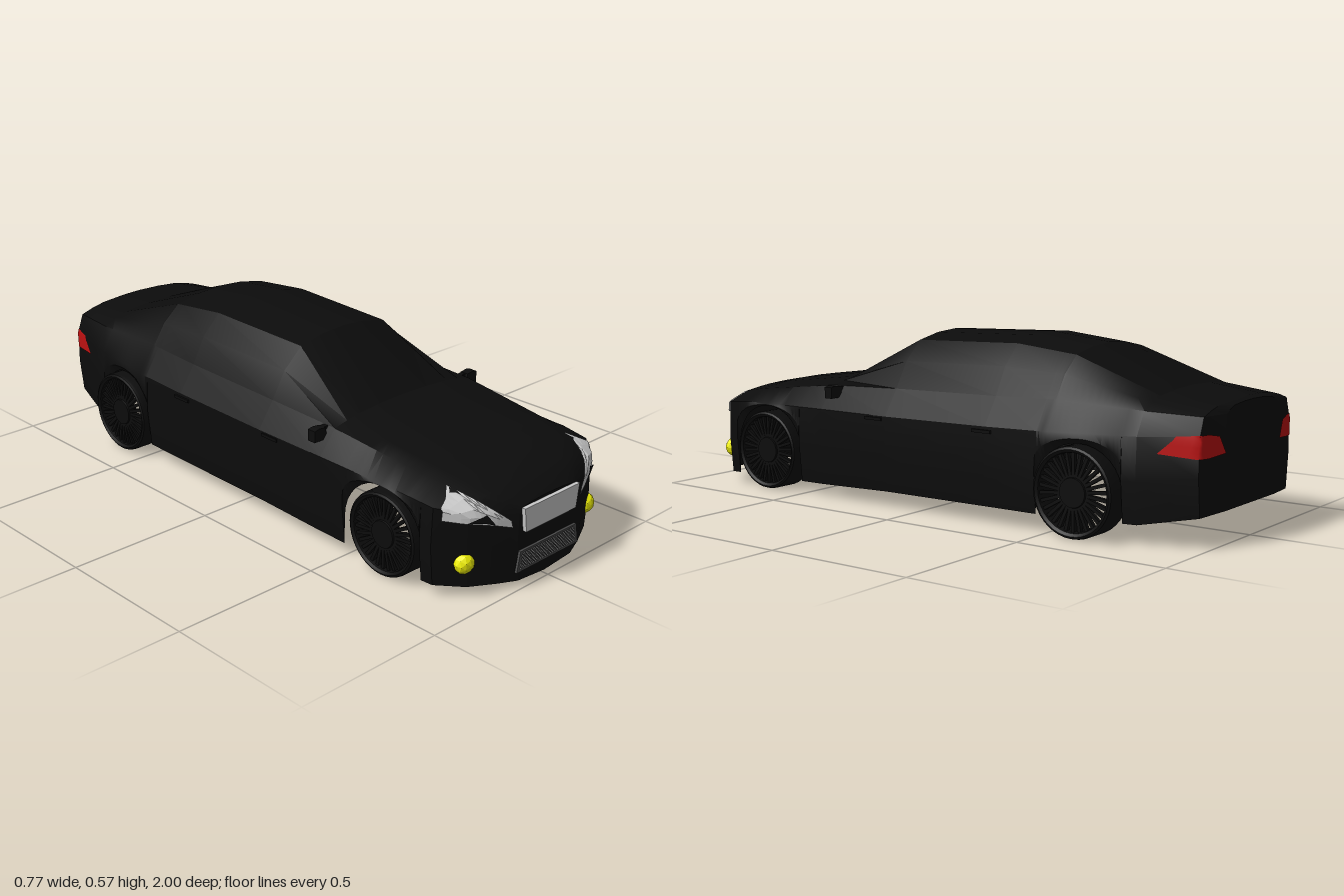
import * as THREE from 'three';
import { toCreasedNormals } from 'three/addons/utils/BufferGeometryUtils.js';

const mat = (color, extra = {}) => new THREE.MeshStandardMaterial({ color, ...extra });
const thin = { side: THREE.DoubleSide };
const BLACK = mat(0x0c0c0c, thin), GLASS = mat(0x0b0b0b, thin);
const CHROME = mat(0xcccccc, { ...thin, flatShading: true });
const GREY = mat(0x4a4a4a, thin), RED = mat(0xbb1111, thin), YELLOW = mat(0xf2f205, { flatShading: true });

const ARCHES = [{ z: 0.655, y: 0.137, r: 0.153 }, { z: -0.61, y: 0.14, r: 0.143 }];

// Body stations: z, half width, shoulder y, belt x/y, roof rail x/y, centre y, sill y
const STATIONS = [
  [-1, 0.17, 0.33, 0.165, 0.385, 0.12, 0.405, 0.412, 0.1],
  [-0.98, 0.29, 0.33, 0.265, 0.385, 0.17, 0.41, 0.42, 0.095],
  [-0.8, 0.335, 0.32, 0.29, 0.39, 0.2, 0.425, 0.438, 0.06],
  [-0.5, 0.366, 0.31, 0.3, 0.4, 0.19, 0.525, 0.55, 0.055],
  [-0.28, 0.37, 0.305, 0.305, 0.393, 0.19, 0.547, 0.573, 0.055],
  [0.12, 0.372, 0.3, 0.308, 0.385, 0.185, 0.535, 0.56, 0.053],
  [0.4, 0.373, 0.3, 0.305, 0.375, 0.2, 0.395, 0.405, 0.045],
  [0.75, 0.37, 0.297, 0.29, 0.335, 0.17, 0.35, 0.357, 0.04],
  [0.85, 0.36, 0.287, 0.27, 0.318, 0.16, 0.332, 0.338, 0.037],
  [0.92, 0.29, 0.27, 0.22, 0.298, 0.14, 0.31, 0.315, 0.032],
  [0.96, 0.205, 0.25, 0.16, 0.275, 0.1, 0.288, 0.292, 0.026],
  [0.985, 0.135, 0.24, 0.118, 0.258, 0.08, 0.264, 0.267, 0.02],
];

function station(z) {
  let k = 0;
  while (k < STATIONS.length - 2 && z > STATIONS[k + 1][0]) k++;
  const a = STATIONS[k], b = STATIONS[k + 1], t = (z - a[0]) / (b[0] - a[0]);
  return a.map((v, i) => v + (b[i] - v) * t);
}

// Full cross-section from the left sill over the roof to the right sill
function section(z) {
  let [, w, sy, xb, yb, xr, yr, yt, sill] = station(z);
  for (const a of ARCHES) {
    const d = a.r * a.r - (z - a.z) ** 2;
    if (d >= 0) sill = a.y + Math.sqrt(d);
  }
  const bulge = 0.07 * (yr - yb);
  const half = [
    [w - 0.012, sill], [w, (sill + sy) / 2], [w * 0.985, sy], [xb, yb],
    [(xb + xr) / 2 + bulge, (yb + yr) / 2 + bulge], [xr, yr], [xr / 2, yt - 0.25 * (yt - yr)],
  ];
  return [...half, [0, yt], ...half.map(([x, y]) => [-x, y]).reverse()];
}

// Skins the cells of the body grid that pass the filter
function skin(zs, keep) {
  const pos = [], index = [], rows = zs.map(section), n = rows[0].length;
  rows.forEach((row, j) => row.forEach(([x, y]) => pos.push(x, y, zs[j])));
  for (let j = 0; j < zs.length - 1; j++) for (let i = 0; i < n - 1; i++) {
    if (!keep(i, (zs[j] + zs[j + 1]) / 2)) continue;
    const a = j * n + i, d = a + n;
    index.push(a, a + 1, d + 1, a, d + 1, d);
  }
  const g = new THREE.BufferGeometry();
  g.setAttribute('position', new THREE.Float32BufferAttribute(pos, 3));
  g.setIndex(index);
  return toCreasedNormals(g, 0.5);
}

// Point at fraction t along a polyline
function along(pts, t) {
  const s = t * (pts.length - 1), k = Math.min(Math.floor(s), pts.length - 2), f = s - k;
  return pts[k].map((v, i) => v + (pts[k + 1][i] - v) * f);
}

// Lens between two edge polylines, laid on the body from the front (dir 1) or back (dir -1)
function lens(body, lower, upper, dir, lift) {
  const nu = 12, nv = 4, pos = [], index = [], ray = new THREE.Raycaster();
  for (let u = 0; u <= nu; u++) for (let v = 0; v <= nv; v++) {
    const a = along(lower, u / nu), b = along(upper, u / nu), t = v / nv;
    const x = a[0] + (b[0] - a[0]) * t, y = a[1] + (b[1] - a[1]) * t;
    ray.set(new THREE.Vector3(x, y, 2 * dir), new THREE.Vector3(0, 0, -dir));
    const hit = ray.intersectObjects(body, false)[0];
    pos.push(x + lift * 0.5, y, (hit ? hit.point.z : 0.9 * dir) + lift * dir);
    if (u < nu && v < nv) {
      const p = u * (nv + 1) + v, q = p + nv + 1;
      index.push(p, q, q + 1, p, q + 1, p + 1);
    }
  }
  const g = new THREE.BufferGeometry();
  g.setAttribute('position', new THREE.Float32BufferAttribute(pos, 3));
  g.setIndex(index);
  g.computeVertexNormals();
  return g;
}

// Trapezoid plate pierced by staggered diamond holes
function grille(bottomHalf, topHalf, y0, y1, depth) {
  const s = new THREE.Shape([[-bottomHalf, y0], [bottomHalf, y0], [topHalf, y1], [-topHalf, y1]]
    .map(p => new THREE.Vector2(...p)));
  const step = 0.0115, r = 0.0044, rim = 0.011;
  for (let j = 0, y = y0 + rim; y < y1 - rim + 0.002; j++, y += step / 2) {
    const halfW = bottomHalf + (topHalf - bottomHalf) * (y - y0) / (y1 - y0) - rim;
    for (let i = -14; i <= 14; i++) {
      const x = (i + (j % 2) / 2) * step;
      if (Math.abs(x) > halfW) continue;
      s.holes.push(new THREE.Path([[x - r, y], [x, y + r], [x + r, y], [x, y - r]]
        .map(p => new THREE.Vector2(...p))));
    }
  }
  return new THREE.ExtrudeGeometry(s, { depth, bevelEnabled: false });
}

// Open wheel with many thin spokes; its axle is x, outer face on +x
function makeWheel(r, width) {
  const wheel = new THREE.Group(), h = width / 2;
  const profile = [[0.865, h * 0.9], [0.93, h], [0.98, h * 0.93], [1, h * 0.75], [1, -h * 0.75],
    [0.98, -h * 0.93], [0.93, -h], [0.865, -h * 0.9], [0.84, -h * 0.6], [0.84, h * 0.6], [0.865, h * 0.9]];
  const tyre = new THREE.Mesh(toCreasedNormals(new THREE.LatheGeometry(
    profile.map(([a, b]) => new THREE.Vector2(a * r, b)), 40), 0.6), BLACK);
  tyre.name = 'tyre';
  tyre.rotation.z = -Math.PI / 2;
  const hub = new THREE.Mesh(new THREE.CylinderGeometry(0.32 * r, 0.38 * r, 0.03, 24), BLACK);
  hub.name = 'hub';
  hub.rotation.z = -Math.PI / 2;
  hub.position.x = h * 0.6;
  wheel.add(tyre, hub);
  const spokeGeo = new THREE.BoxGeometry(0.014, 0.58 * r, 0.0105).translate(h * 0.65, 0.57 * r, 0);
  for (let i = 0; i < 30; i++) {
    const spoke = new THREE.Mesh(spokeGeo, BLACK);
    spoke.name = 'spoke';
    spoke.rotation.x = i / 30 * Math.PI * 2;
    wheel.add(spoke);
  }
  return wheel;
}

export function createModel() {
  const car = new THREE.Group();
  car.name = 'car';
  const add = (name, geo, material, x = 0, y = 0, z = 0) => {
    const m = new THREE.Mesh(geo, material);
    m.name = name;
    m.position.set(x, y, z);
    car.add(m);
    return m;
  };

  // Body shell, open underneath, with the wheel arches cut from the sills
  const zs = STATIONS.map(s => s[0]);
  for (const a of ARCHES) {
    zs.push(a.z - a.r - 0.001, a.z + a.r + 0.001);
    for (let k = 0; k <= 16; k++) zs.push(a.z - a.r * 0.9999 * Math.cos(k / 16 * Math.PI));
  }
  zs.sort((p, q) => p - q);
  const sideGlass = (i, z) => [3, 4, 9, 10].includes(i) && z > -0.5 && z < 0.4;
  const screen = (i, z) => i > 4 && i < 9 && z > 0.12 && z < 0.4;
  const rearGlass = (i, z) => i > 4 && i < 9 && z > -0.8 && z < -0.5;
  const shell = [add('bodyShell', skin(zs, (i, z) => !sideGlass(i, z) && !screen(i, z) && !rearGlass(i, z)), BLACK)];
  add('sideWindows', skin(zs, sideGlass), GLASS);
  add('windscreen', skin(zs, screen), GLASS);
  add('rearWindow', skin(zs, rearGlass), GLASS);

  // Flat nose and tail panels
  for (const [name, z, chin] of [['nosePanel', 0.985, 0.01], ['tailPanel', -1, 0.1]]) {
    const outline = [...section(z), [0, chin]].map(p => new THREE.Vector2(...p));
    shell.push(add(name, new THREE.ShapeGeometry(new THREE.Shape(outline)), BLACK, 0, 0, z));
  }
  car.updateMatrixWorld(true);

  // Grilles
  add('upperGrille', grille(0.116, 0.127, 0.182, 0.26, 0.013), CHROME, 0, 0, 0.987);
  const lower = add('lowerGrille', grille(0.144, 0.131, 0.055, 0.122, 0.008), GREY, 0, 0, 0.987);
  lower.material.side = THREE.DoubleSide;

  // Lamps, mirrors and handles on both sides
  const headLamp = lens(shell, [[0.155, 0.205], [0.2, 0.22], [0.26, 0.235], [0.34, 0.25]],
    [[0.16, 0.228], [0.215, 0.275], [0.27, 0.324], [0.337, 0.288]], 1, 0.006);
  const lampInset = lens(shell, [[0.21, 0.226], [0.235, 0.235], [0.262, 0.24]],
    [[0.215, 0.235], [0.235, 0.262], [0.29, 0.244]], 1, 0.01);
  const tailLamp = lens(shell, [[0.17, 0.272], [0.25, 0.265], [0.29, 0.266], [0.318, 0.275]],
    [[0.2, 0.325], [0.25, 0.334], [0.285, 0.334], [0.302, 0.328]], -1, 0.004);
  for (const s of [1, -1]) {
    for (const [name, geo, material] of [['headlight', headLamp, CHROME],
      ['headlightInset', lampInset, BLACK], ['tailLight', tailLamp, RED]])
      add(name, geo, material).scale.x = s;
    add('fogLight', new THREE.IcosahedronGeometry(0.034, 1), YELLOW, s * 0.283, 0.11, 0.912).scale.z = 0.85;
    const housing = new THREE.Shape([[0.318, 0.34], [0.37, 0.339], [0.37, 0.376], [0.352, 0.38], [0.325, 0.377]]
      .map(p => new THREE.Vector2(...p)));
    add('mirror', new THREE.ExtrudeGeometry(housing, { depth: 0.03, bevelEnabled: false }), BLACK, 0, 0, 0.35).scale.x = s;
    add('mirrorArm', new THREE.BoxGeometry(0.04, 0.022, 0.018), BLACK, s * 0.308, 0.365, 0.362);
    for (const z of [0.17, -0.27]) add('doorHandle', new THREE.BoxGeometry(0.012, 0.01, 0.07), BLACK, s * 0.366, 0.29, z);
    // Wheels
    for (const [name, x, r, z] of [['frontWheel', 0.318, 0.135, 0.662], ['rearWheel', 0.33, 0.14, -0.61]]) {
      const wheel = makeWheel(r, 0.106);
      wheel.name = name;
      wheel.position.set(s * x, r, z);
      wheel.rotation.y = s > 0 ? 0 : Math.PI;
      car.add(wheel);
    }
  }
  return car;
}
